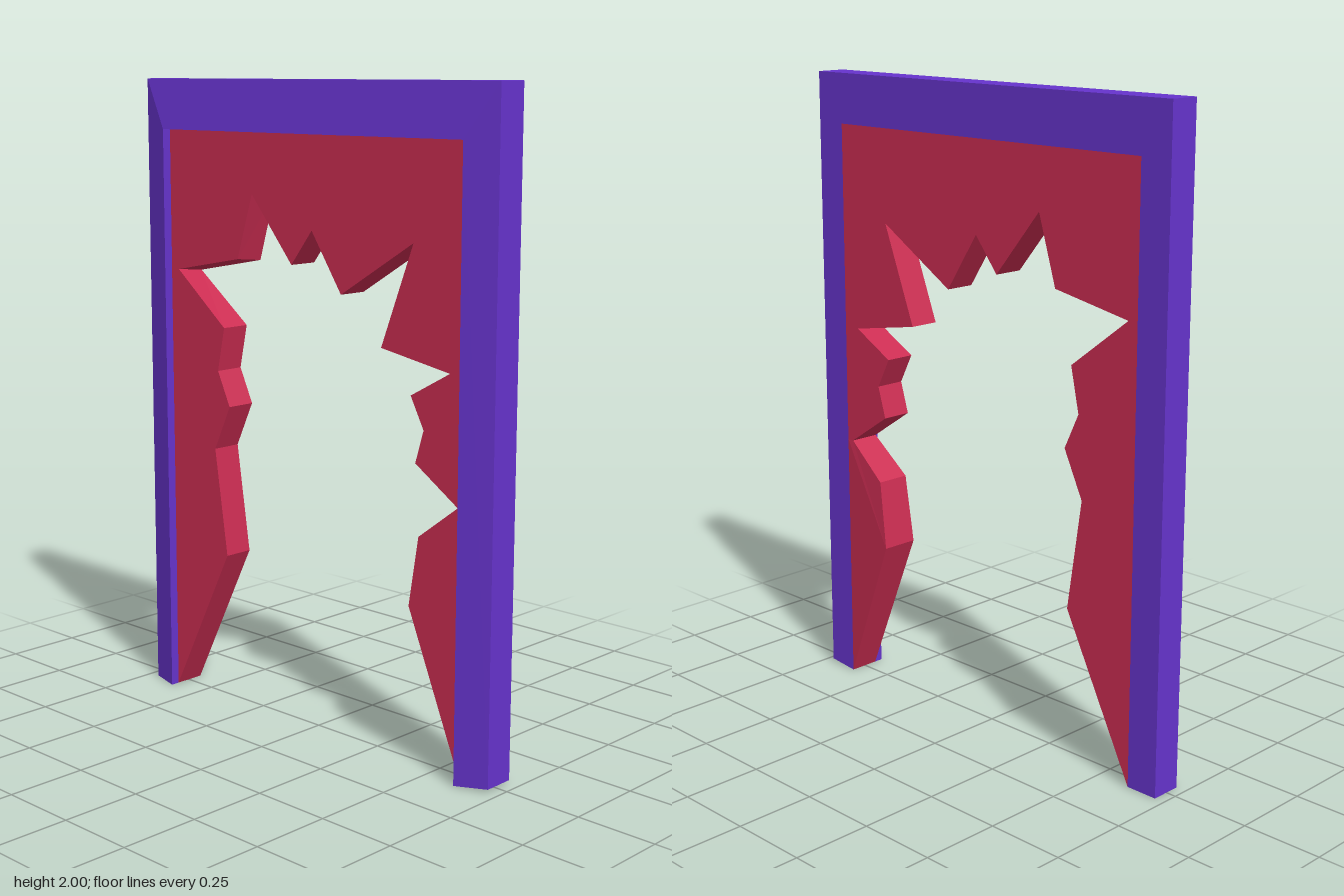
import * as THREE from 'three';

const BACK = -0.052, FRONT = 0.046, LIP = 0.075;

// Extrudes an outline from the back plane, then moves each vertex by a rule.
function slab(name, points, color, rule) {
  const shape = new THREE.Shape(points.map(([x, y]) => new THREE.Vector2(x, y)));
  const geometry = new THREE.ExtrudeGeometry(shape, { depth: FRONT - BACK, bevelEnabled: false });
  geometry.translate(0, 0, BACK);
  const pos = geometry.attributes.position;
  const v = new THREE.Vector3();
  for (let i = 0; i < pos.count; i++) {
    v.fromBufferAttribute(pos, i);
    rule(v, v.z > 0);
    pos.setXYZ(i, v.x, v.y, v.z);
  }
  geometry.computeVertexNormals();
  const mesh = new THREE.Mesh(geometry, new THREE.MeshStandardMaterial({ color }));
  mesh.name = name;
  return mesh;
}

export function createModel() {
  const group = new THREE.Group();
  group.name = 'brokenDoorway';

  // Door frame: its front face slopes forward towards the inner edge
  const frame = [
    [-0.717, 0], [-0.613, 0], [-0.613, 1.843], [0.613, 1.843],
    [0.613, 0], [0.717, 0.01], [0.717, 2], [-0.717, 2],
  ];
  group.add(slab('doorFrame', frame, 0x6633cc, (v, isFront) => {
    if (isFront && Math.abs(v.x) < 0.65) v.z = LIP;
  }));

  // Broken door panel: jagged hole up the left, over the top, down the right
  const jagged = [
    [-0.613, 0], [-0.365, 0.49], [-0.417, 0.835], [-0.348, 0.98], [-0.4, 1.09],
    [-0.37, 1.23], [-0.58, 1.4], [-0.305, 1.452], [-0.24, 1.655], [-0.07, 1.452],
    [0.015, 1.56], [0.135, 1.38], [0.415, 1.55], [0.295, 1.24], [0.555, 1.195],
    [0.41, 1.115], [0.46, 1.02], [0.43, 0.92], [0.59, 0.815], [0.445, 0.705],
    [0.41, 0.49], [0.613, 0],
  ];
  const outer = [[0.613, 0.815], [0.613, 1.843], [-0.613, 1.843]];
  group.add(slab('brokenPanel', [...jagged, ...outer], 0xcc2d52, (v, isFront) => {
    if (isFront) return;
    // The lower right splinter bulges backwards
    if (v.x > 0.4 && v.y < 0.75 && v.y > 0.1) v.z -= v.y < 0.6 ? 0.023 : 0.012;
    // One tooth on the upper left is cut at a slant
    if (v.x < -0.3 && v.y > 1.39 && v.y < 1.5) v.y -= 0.01;
  }));

  return group;
}
